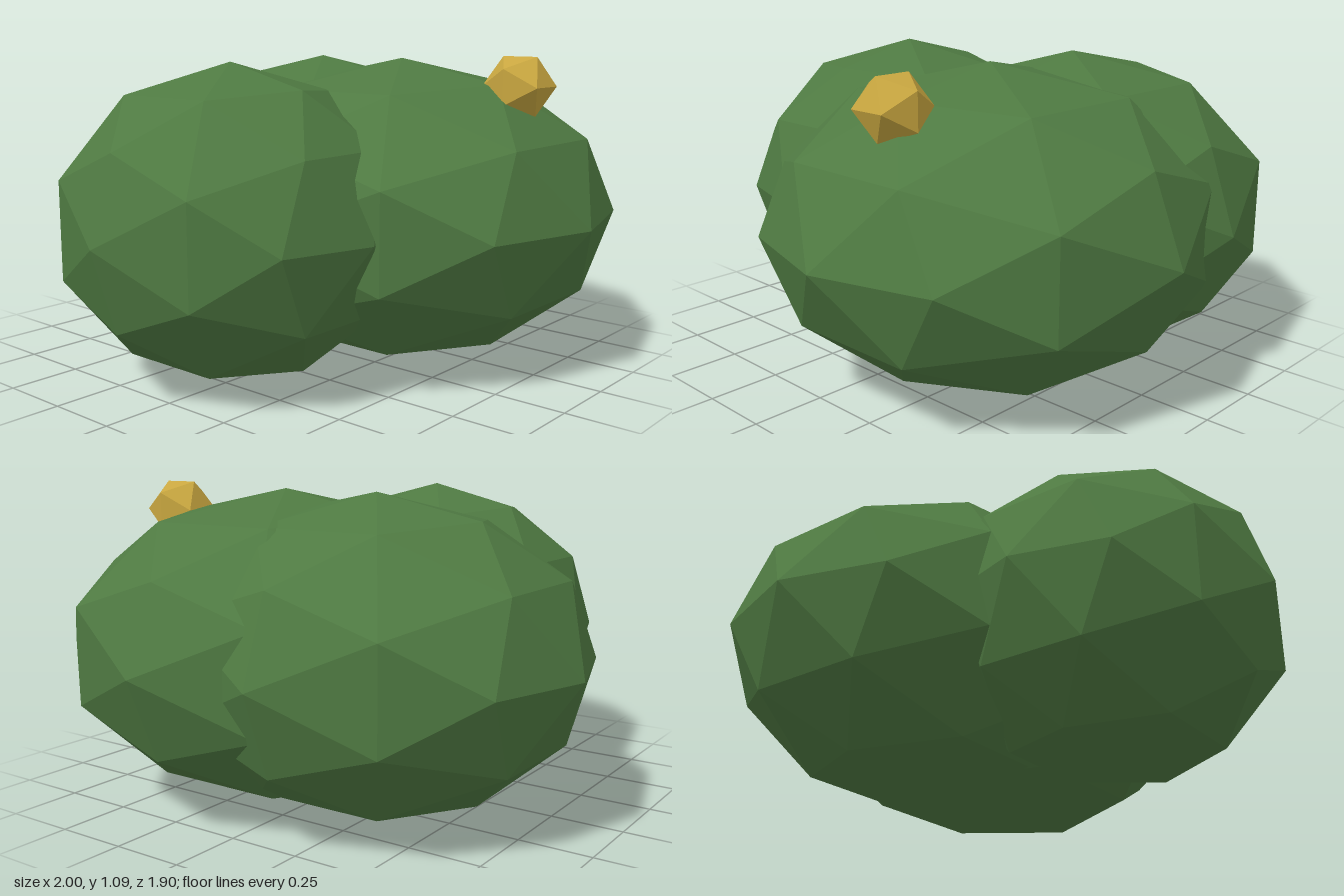
import * as THREE from 'three';

// Faceted ball: subdivided icosahedron, turned a quarter and stretched per axis
function facetedBall(name, detail, position, radii, material) {
  const geometry = new THREE.IcosahedronGeometry(1, detail);
  geometry.rotateY(Math.PI / 2);
  geometry.scale(...radii);
  geometry.computeVertexNormals(); // unshared corners keep the facets flat
  const mesh = new THREE.Mesh(geometry, material);
  mesh.name = name;
  mesh.position.set(...position);
  return mesh;
}

export function createModel() {
  const leafGreen = new THREE.MeshStandardMaterial({ color: 0x4f7a42 });
  leafGreen.name = 'leaf green';
  leafGreen.flatShading = true;
  const gold = new THREE.MeshStandardMaterial({ color: 0xc9a740 });
  gold.name = 'gold';
  gold.flatShading = true;

  const bush = new THREE.Group();
  bush.name = 'bush';
  bush.add(
    // Three overlapping leaf clumps of equal height
    facetedBall('frontClump', 1, [0.23, 0.538, 0.183], [0.77, 0.537, 0.767], leafGreen),
    facetedBall('backClump', 1, [0.253, 0.538, -0.212], [0.676, 0.537, 0.742], leafGreen),
    facetedBall('rightClump', 1, [-0.41, 0.538, -0.047], [0.59, 0.537, 0.607], leafGreen),
    // Small flower bud resting on the front clump
    facetedBall('bud', 0, [0.273, 0.99, 0.643], [0.126, 0.117, 0.123], gold),
  );
  return bush;
}
